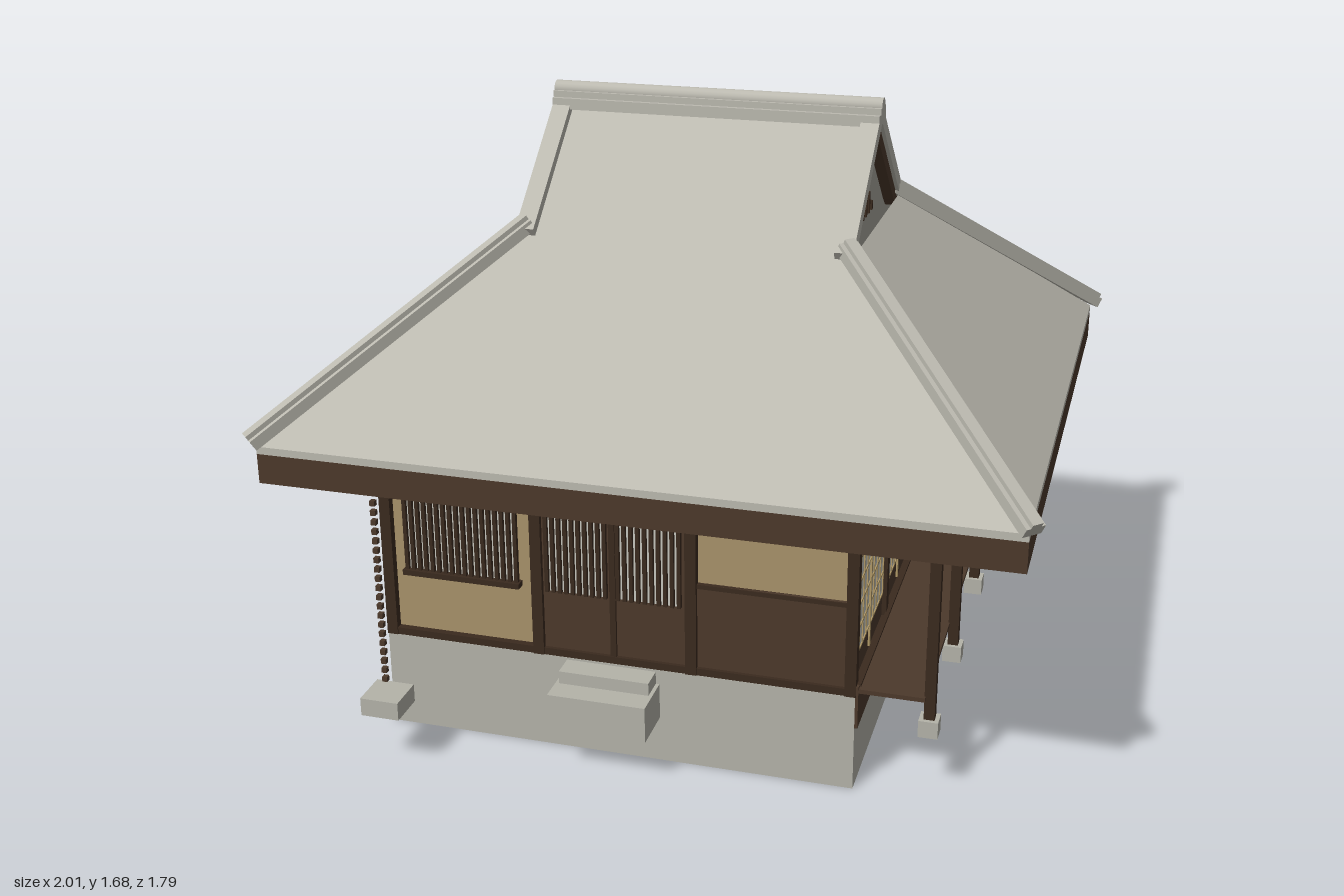
import * as THREE from 'three';

const mat = (name, color, side = THREE.FrontSide) => {
  const m = new THREE.MeshStandardMaterial({ color, side });
  m.name = name;
  return m;
};

export function createModel() {
  const roofTile = mat('roof tile', 0xbcbab0, THREE.DoubleSide);
  const stone = mat('stone', 0xb4b3a9, THREE.DoubleSide);
  const plaster = mat('plaster', 0xa8926a);
  const paper = mat('paper', 0xc6c6be);
  const wood = mat('wood', 0x4c392b);
  const frame = mat('dark timber', 0x3a2a1e);
  const lath = mat('light lath', 0xb29a68);

  const model = new THREE.Group();
  const group = (name, parent = model) => {
    const g = new THREE.Group();
    g.name = name;
    parent.add(g);
    return g;
  };
  const add = (parent, name, geo, m) => {
    const mesh = new THREE.Mesh(geo, m);
    mesh.name = name;
    parent.add(mesh);
    return mesh;
  };
  // Box given by its limits on each axis
  const box = (parent, name, m, x0, x1, y0, y1, z0, z1) => {
    const b = add(parent, name, new THREE.BoxGeometry(x1 - x0, y1 - y0, z1 - z0), m);
    b.position.set((x0 + x1) / 2, (y0 + y1) / 2, (z0 + z1) / 2);
    return b;
  };

  // House body, square in plan, shifted to leave room for the veranda
  const H = 0.645;
  const house = group('house');
  house.position.x = -0.1025;
  box(house, 'plasterWalls', plaster, -0.625, 0.625, 0.265, 0.88, -0.625, 0.625);

  // Hollow foundation
  for (let i = 0; i < 4; i++) {
    const side = group('foundationSide', house);
    side.rotation.y = i * Math.PI / 2;
    box(side, 'foundationWall', stone, -H, H, 0, 0.27, H - 0.01, H);
  }
  box(house, 'foundationCeiling', stone, -H, H, 0.255, 0.27, -H, H);

  // Wall panels, laid out along a facade that faces +z
  const lattice = (f, u0, u1, y0, y1, n) => {
    const g = group('latticeWindow', f);
    box(g, 'windowPaper', paper, u0, u1, y0, y1, 0.63, 0.639);
    for (let i = 0; i <= n; i++) {
      const u = u0 + (u1 - u0) * i / n;
      box(g, 'windowBar', frame, u - 0.005, u + 0.005, y0, y1, 0.638, 0.65);
    }
  };
  const barWindow = (f, u) => {
    lattice(f, u - 0.155, u + 0.155, 0.475, 0.68, 17);
    for (const y of [0.46, 0.68]) box(f, 'windowRail', frame, u - 0.165, u + 0.165, y, y + 0.015, 0.63, 0.658);
  };
  const woodPanel = (f, u, y1) => {
    box(f, 'woodPanel', wood, u - 0.2, u + 0.2, 0.28, y1, 0.62, 0.634);
    box(f, 'panelRail', frame, u - 0.2, u + 0.2, y1 - 0.012, y1, 0.62, 0.638);
  };
  const paperGrid = (f, u0, u1, y0, y1, cols, rows) => {
    const g = group('paperScreen', f);
    box(g, 'screenPaper', paper, u0, u1, y0, y1, 0.626, 0.634);
    for (let i = 0; i <= cols; i++) {
      const u = u0 + (u1 - u0) * i / cols;
      box(g, 'screenUpright', lath, u - 0.003, u + 0.003, y0, y1, 0.633, 0.637);
    }
    for (let i = 0; i <= rows; i++) {
      const y = y0 + (y1 - y0) * i / rows;
      box(g, 'screenRail', lath, u0, u1, y - 0.003, y + 0.003, 0.633, 0.637);
    }
  };
  const slidingScreens = (f, u) => {
    box(f, 'screenBase', wood, u - 0.2, u + 0.2, 0.28, 0.36, 0.62, 0.634);
    paperGrid(f, u - 0.19, u, 0.36, 0.69, 4, 5);
    paperGrid(f, u, u + 0.19, 0.36, 0.69, 4, 5);
    box(f, 'screenDivider', lath, u - 0.006, u + 0.006, 0.3, 0.69, 0.633, 0.639);
    box(f, 'screenLintel', wood, u - 0.2, u + 0.2, 0.69, 0.715, 0.62, 0.642);
  };
  const slidingDoors = (f, u) => {
    woodPanel(f, u, 0.71);
    lattice(f, u - 0.18, u - 0.02, 0.46, 0.675, 9);
    lattice(f, u + 0.015, u + 0.18, 0.46, 0.675, 9);
    box(f, 'doorDivider', frame, u - 0.01, u + 0.006, 0.29, 0.69, 0.63, 0.642);
    box(f, 'doorLintel', frame, u - 0.2, u + 0.2, 0.685, 0.71, 0.63, 0.645);
  };
  const facades = [
    ['frontWall', 0, f => { barWindow(f, -0.42); slidingDoors(f, 0); woodPanel(f, 0.42, 0.53); }],
    ['rightWall', 1, f => {
      slidingScreens(f, -0.42);
      slidingScreens(f, 0);
      woodPanel(f, 0.42, 0.71);
      box(f, 'verandaSkirt', wood, -H, H, 0.18, 0.3, 0.645, 0.653);
      box(f, 'verandaRail', frame, -0.63, 0.63, 0.295, 0.302, 0.645, 0.657);
    }],
    ['backWall', 2, f => {
      barWindow(f, -0.42);
      slidingScreens(f, 0);
      box(f, 'middleRail', frame, 0.22, 0.62, 0.525, 0.54, 0.62, 0.636);
    }],
    ['leftWall', 3, f => {
      woodPanel(f, -0.42, 0.53);
      paperGrid(f, -0.155, 0.155, 0.47, 0.69, 8, 4);
      for (const y of [0.46, 0.69]) box(f, 'windowRail', frame, -0.17, 0.17, y, y + 0.015, 0.62, 0.655);
      woodPanel(f, 0.42, 0.68);
    }],
  ];
  for (const [name, turn, build] of facades) {
    const f = group(name, house);
    f.rotation.y = turn * Math.PI / 2;
    for (const u of [-0.632, -0.21, 0.21, 0.632]) {
      box(f, 'wallPost', frame, u - 0.015, u + 0.015, 0.27, 0.86, 0.617, 0.647);
    }
    box(f, 'sill', frame, -H, H, 0.27, 0.29, 0.62, 0.644);
    box(f, 'topPlate', frame, -H, H, 0.8, 0.84, 0.62, 0.644);
    build(f);
  }

  // Veranda
  const veranda = group('veranda');
  box(veranda, 'deck', wood, 0.545, 0.72, 0.28, 0.292, -0.64, 0.64);
  box(veranda, 'eaveBeam', frame, 0.715, 0.745, 0.785, 0.82, -0.645, 0.645);
  for (const z of [-0.615, -0.21, 0.21, 0.615]) {
    box(veranda, 'verandaPost', frame, 0.717, 0.745, 0.225, 0.8, z - 0.014, z + 0.014);
    box(veranda, 'postStone', stone, 0.705, 0.756, 0.178, 0.225, z - 0.025, z + 0.025);
    box(veranda, 'crossBeam', frame, 0.53, 0.72, 0.748, 0.76, z - 0.012, z + 0.012);
  }

  // Entrance steps and rain chain
  box(model, 'lowerStep', stone, -0.24, 0.025, 0.135, 0.235, 0.655, 0.785);
  box(model, 'upperStep', stone, -0.23, 0.015, 0.235, 0.27, 0.655, 0.72);
  const chain = group('rainChain');
  box(chain, 'drainStone', stone, -0.72, -0.615, 0.158, 0.208, 0.785, 0.888);
  for (let i = 0; i < 20; i++) {
    const y = 0.24 + i * 0.0265;
    box(chain, 'chainLink', wood, -0.676, -0.662, y, y + 0.014, 0.829, 0.843);
  }

  // Hip-and-gable roof: four slopes at one pitch
  const X = 0.97, Z = 0.86, E = 0.88, GX = 0.445, GZ = 0.335, GY = 1.335, RY = 1.626;
  const slope = (name, quads, turned) => {
    const p = [];
    for (const [a, b, c, d] of quads) p.push(...a, ...b, ...c, ...a, ...c, ...d);
    const geo = new THREE.BufferGeometry();
    geo.setAttribute('position', new THREE.Float32BufferAttribute(p, 3));
    geo.computeVertexNormals();
    const s = add(roof, name, geo, roofTile);
    if (turned) s.rotation.y = Math.PI;
  };
  const roof = group('roof');
  for (const turned of [false, true]) {
    slope('longSlope', [
      [[-X, E, Z], [X, E, Z], [GX, GY, GZ], [-GX, GY, GZ]],
      [[-GX, GY, GZ], [GX, GY, GZ], [GX, RY, 0], [-GX, RY, 0]],
    ], turned);
    slope('endSlope', [[[X, E, Z], [X, E, -Z], [GX, GY, -GZ], [GX, GY, GZ]]], turned);
  }

  // Eave edges, hips and gables, mirrored to both sides
  const profile = (name, pts, m, x, depth) => {
    const geo = new THREE.ExtrudeGeometry(
      new THREE.Shape(pts.map(([a, b]) => new THREE.Vector2(a, b))), { depth, bevelEnabled: false });
    geo.translate(0, 0, -depth / 2).rotateY(-Math.PI / 2);
    add(roof, name, geo, m).position.x = x;
  };
  const chevron = half => [...half, ...half.slice(1, -1).reverse().map(([a, b]) => [-a, b])];
  const mirrored = (top, outer, inner, bottom) =>
    [top, ...outer, ...inner, bottom, ...[...outer, ...inner].reverse().map(([a, b]) => [-a, b])];
  for (const s of [-1, 1]) {
    const zc = s * (Z - 0.015), xc = s * (X - 0.015);
    box(roof, 'fascia', wood, -X + 0.005, X - 0.005, 0.78, 0.86, zc - 0.015, zc + 0.015);
    box(roof, 'fascia', wood, xc - 0.015, xc + 0.015, 0.78, 0.86, -Z, Z);
    box(roof, 'eaveEdge', roofTile, -X, X, 0.86, E, zc - 0.015, zc + 0.015);
    box(roof, 'eaveEdge', roofTile, xc - 0.015, xc + 0.015, 0.86, E, -Z, Z);

    for (const t of [-1, 1]) {
      const low = new THREE.Vector3(s * 0.98, 0.893, t * 0.87);
      const high = new THREE.Vector3(s * 0.425, 1.36, t * 0.315);
      for (const [w, h, lift] of [[0.055, 0.03, 0], [0.03, 0.015, 0.02]]) {
        const hip = add(roof, 'hipRidge', new THREE.BoxGeometry(w, h, low.distanceTo(high)), roofTile);
        hip.position.copy(low).add(high).multiplyScalar(0.5);
        hip.lookAt(low);
        hip.translateY(lift);
      }
    }

    profile('vergeTiles', mirrored([0, 1.655], [[0.352, 1.352]], [[0.332, 1.322]], [0, 1.61]), roofTile, s * 0.425, 0.05);
    profile('bargeboard', mirrored([0, 1.612], [[0.332, 1.325]], [[0.305, 1.308], [0.272, 1.333]], [0, 1.568]), wood, s * 0.425, 0.03);
    profile('gablePanel', chevron([[0, 1.5], [0.195, 1.33], [0, 1.33]]), wood, s * 0.385, 0.015);
    for (let i = -4; i <= 4; i++) {
      const z = i * 0.04;
      const top = 1.495 - Math.abs(z) * 0.87;
      box(roof, 'gableBatten', frame, s * 0.395 - 0.006, s * 0.395 + 0.006, 1.33, top, z - 0.005, z + 0.005);
    }
  }

  // Main ridge
  box(roof, 'ridgeBase', roofTile, -0.45, 0.45, 1.605, 1.635, -0.045, 0.045);
  box(roof, 'ridgeCourse', roofTile, -0.452, 0.452, 1.635, 1.652, -0.032, 0.032);
  const cap = add(roof, 'ridgeCap', new THREE.CylinderGeometry(0.022, 0.022, 0.904, 16), roofTile);
  cap.rotation.z = Math.PI / 2;
  cap.position.y = 1.654;

  return model;
}
